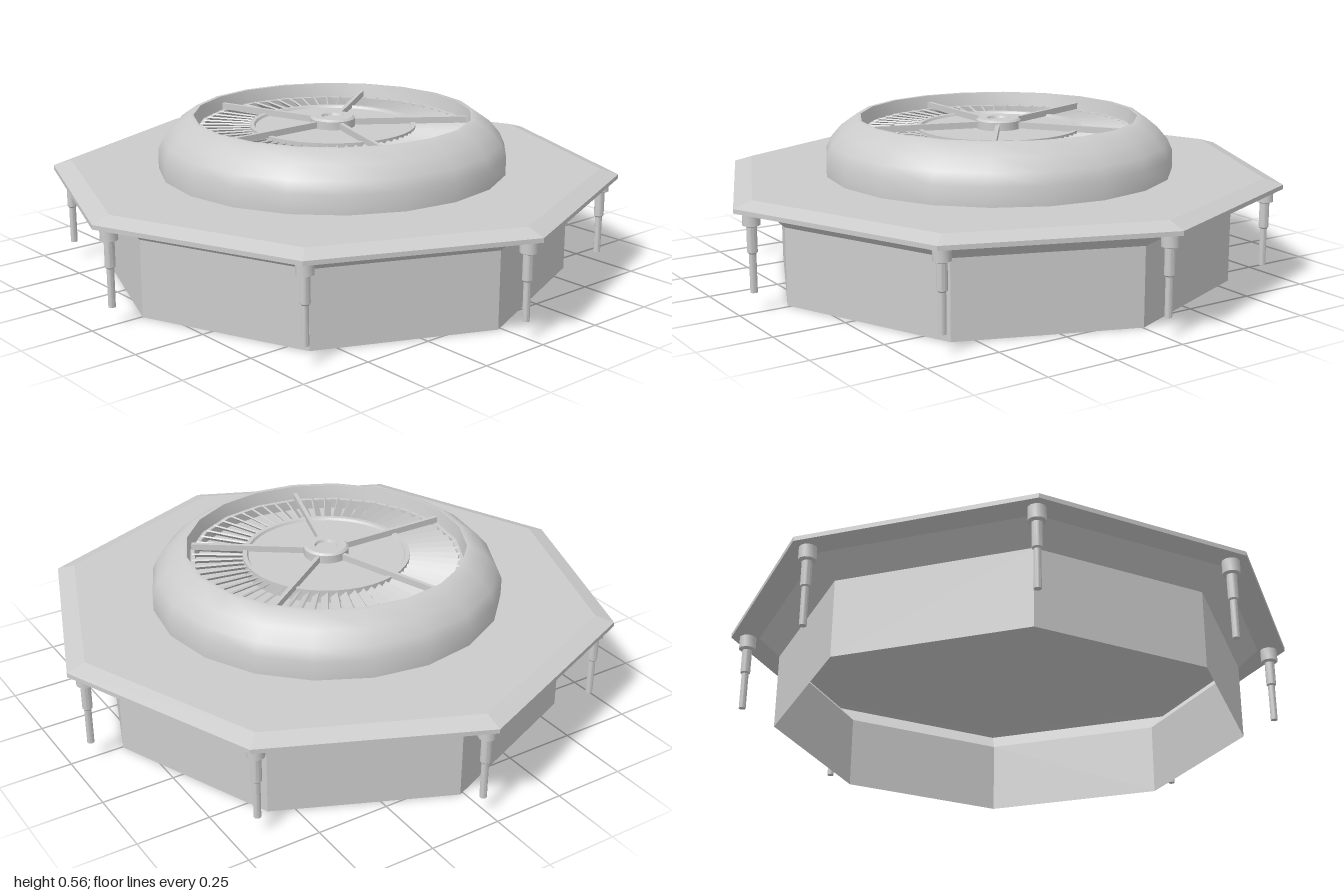
import * as THREE from 'three';
import { toCreasedNormals } from 'three/addons/utils/BufferGeometryUtils.js';

const material = new THREE.MeshStandardMaterial({ color: 0xcccccc, side: THREE.DoubleSide });

// Slightly skewed octagon: half of the corners, the rest by point symmetry
const half = [[0.016, -1], [0.704, -0.693], [0.985, -0.005], [0.72, 0.693]];
const corners = [...half, ...half.map(([x, z]) => [-x, -z])];

function add(parent, name, geometry, x = 0, y = 0, z = 0) {
  const mesh = new THREE.Mesh(geometry, material);
  mesh.name = name;
  mesh.position.set(x, y, z);
  parent.add(mesh);
  return mesh;
}

// Flat-sided skin through octagonal cross-sections given as [scale, height]
function octagonSkin(profile) {
  const pos = [];
  for (let k = 0; k < profile.length - 1; k++) {
    for (let i = 0; i < 8; i++) {
      const at = ([s, y], j) => [corners[j % 8][0] * s, y, corners[j % 8][1] * s];
      const a = at(profile[k], i), b = at(profile[k + 1], i);
      const c = at(profile[k + 1], i + 1), d = at(profile[k], i + 1);
      pos.push(...a, ...b, ...d);
      if (profile[k + 1][0] > 0) pos.push(...b, ...c, ...d);
    }
  }
  const g = new THREE.BufferGeometry();
  g.setAttribute('position', new THREE.Float32BufferAttribute(pos, 3));
  g.computeVertexNormals();
  return g;
}

function lathe(points, segments) {
  const g = new THREE.LatheGeometry(points.map(p => new THREE.Vector2(...p)), segments);
  return toCreasedNormals(g, 0.65);
}

export function createModel() {
  const model = new THREE.Group();
  model.name = 'ventedHatch';

  // Open-bottomed base wall, flared underside and bevelled deck
  add(model, 'baseAndDeck', octagonSkin([
    [0.825, 0], [0.825, 0.265], [0.9, 0.335], [1, 0.335], [1, 0.35], [0.935, 0.37], [0, 0.37],
  ]));

  // Rounded collar with a sunken well
  add(model, 'collar', lathe([
    [0.61, 0.37], [0.61, 0.435], [0.592, 0.475], [0.555, 0.518], [0.5, 0.557],
    [0.485, 0.557], [0.475, 0.51], [0.46, 0.51], [0.46, 0.475], [0.27, 0.475],
  ], 20));

  // Central disc with a raised edge
  add(model, 'centreDisc', lathe([
    [0.29, 0.475], [0.29, 0.52], [0.275, 0.52], [0.27, 0.512], [0, 0.512],
  ], 40));

  // Ring of tilted vanes
  const vanes = new THREE.Group();
  vanes.name = 'vanes';
  model.add(vanes);
  const vaneGeometry = new THREE.BoxGeometry(0.18, 0.006, 0.03);
  vaneGeometry.rotateX(0.7);
  vaneGeometry.translate(0.375, 0.502, 0);
  for (let i = 0; i < 60; i++) {
    add(vanes, 'vane', vaneGeometry).rotation.y = (i + 0.5) * Math.PI / 30;
  }

  // Five spokes, one pointing to the model's right
  const spokeGeometry = new THREE.BoxGeometry(0.4, 0.022, 0.014);
  spokeGeometry.translate(0.27, 0.525, 0);
  for (let i = 0; i < 5; i++) {
    add(model, 'spoke', spokeGeometry).rotation.y = Math.PI + i * Math.PI * 0.4;
  }

  // Hub with a small dished cap
  add(model, 'hub', lathe([
    [0.078, 0.51], [0.078, 0.54], [0.07, 0.547], [0.04, 0.547], [0.036, 0.538], [0, 0.538],
  ], 24));

  // Stepped bolt below every deck corner
  const boltGeometry = lathe([
    [0, 0.065], [0.012, 0.065], [0.012, 0.195], [0.017, 0.2], [0.017, 0.285],
    [0.029, 0.29], [0.029, 0.336], [0, 0.336],
  ], 12);
  for (const [x, z] of corners) add(model, 'bolt', boltGeometry, x * 0.94, 0, z * 0.94);

  return model;
}
